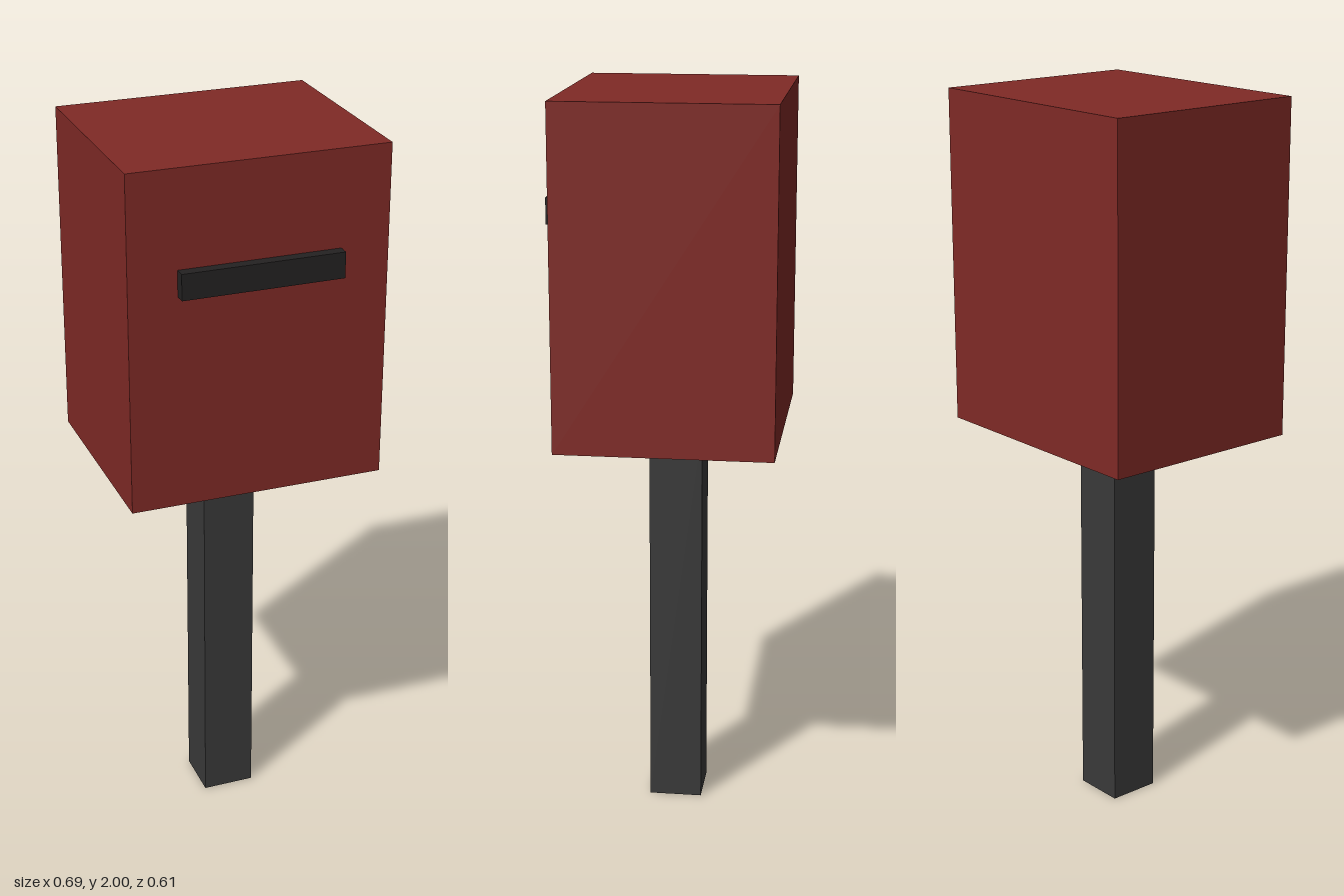
import * as THREE from 'three';

// Face order of BoxGeometry: 0 +x, 1 -x, 2 +y, 3 -y, 4 +z, 5 -z
function openBox(name, color, size, position, openFaces) {
  const geometry = new THREE.BoxGeometry(...size);
  const index = Array.from(geometry.index.array);
  geometry.setIndex(index.filter((_, i) => !openFaces.includes(Math.floor(i / 6))));
  geometry.clearGroups();
  const material = new THREE.MeshStandardMaterial({ color, side: THREE.DoubleSide });
  const mesh = new THREE.Mesh(geometry, material);
  mesh.name = name;
  mesh.position.set(...position);
  return mesh;
}

export function createModel() {
  const group = new THREE.Group();
  group.name = 'mailbox';
  const bodyZ = -0.015;

  group.add(
    // Square post, a hollow tube ending at the underside of the body
    openBox('post', 0x3a3a3a, [0.145, 1.09, 0.145], [0, 0.545, bodyZ], [2, 3]),
    // Body, open underneath
    openBox('body', 0x802a26, [0.695, 0.91, 0.58], [0, 1.545, bodyZ], [3]),
    // Raised letter slot on the front
    openBox('slot', 0x242222, [0.435, 0.07, 0.03], [0, 1.705, 0.29], [5]),
  );
  return group;
}
